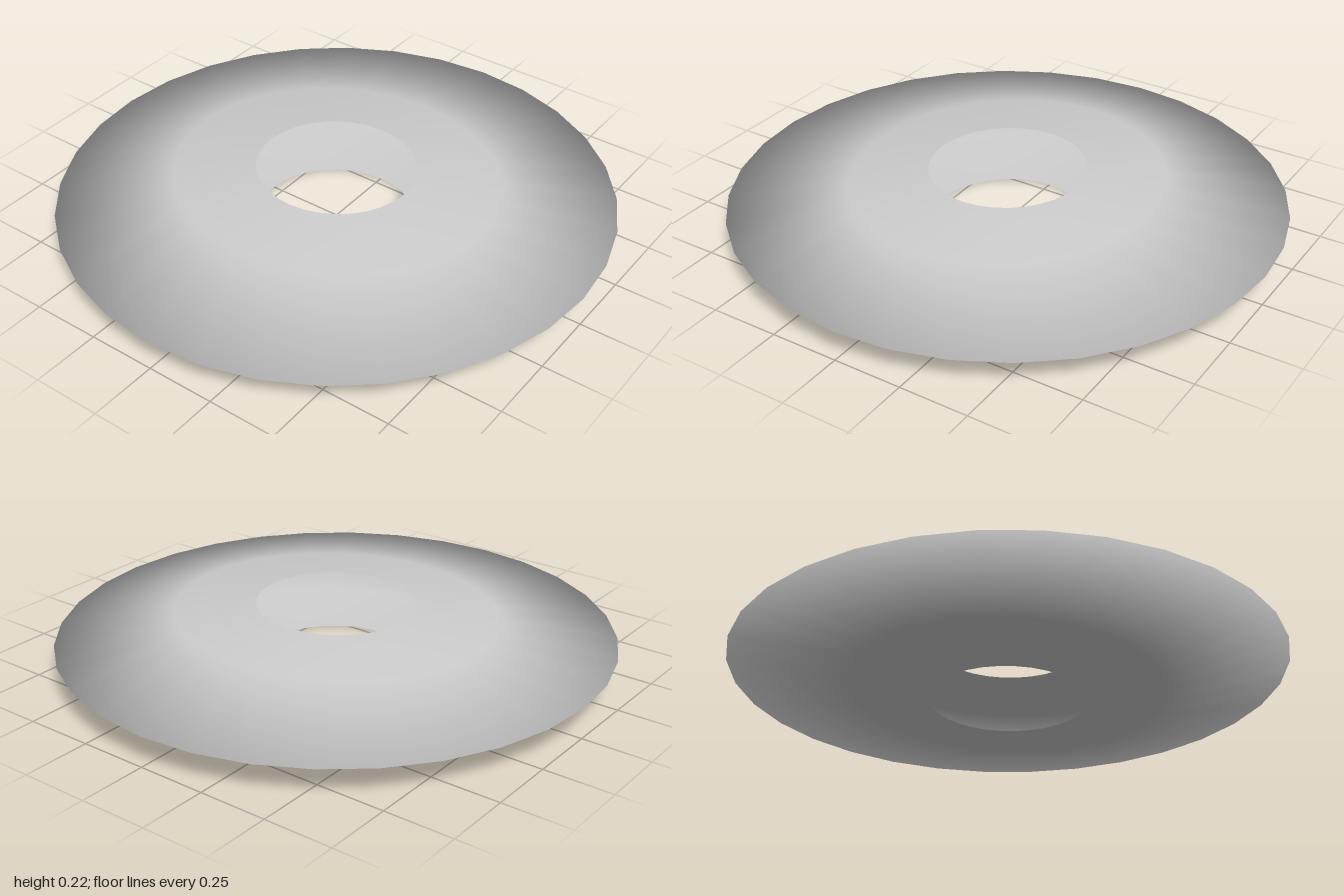
import * as THREE from 'three';

export function createModel() {
  const group = new THREE.Group();
  group.name = 'ringDisc';

  // Lens-shaped profile, from the lower hole edge out to the rim and back to the upper hole edge
  const profile = [
    [0.29, 0], [0.6, 0.035], [1, 0.11], [0.6, 0.185], [0.29, 0.22],
  ].map(([r, y]) => new THREE.Vector2(r, y));
  const geometry = new THREE.LatheGeometry(profile, 32);

  // The hole and the shoulder rings are slightly narrower front to back than side to side
  const depthScale = [0.965, 0.92, 1, 0.92, 0.965];
  const position = geometry.attributes.position;
  for (let i = 0; i < position.count; i++) {
    position.setZ(i, position.getZ(i) * depthScale[i % profile.length]);
  }

  // Hollow shell, open at the hole
  const disc = new THREE.Mesh(
    geometry,
    new THREE.MeshStandardMaterial({ color: 0xcccccc, side: THREE.DoubleSide }),
  );
  disc.name = 'discShell';
  group.add(disc);
  return group;
}
